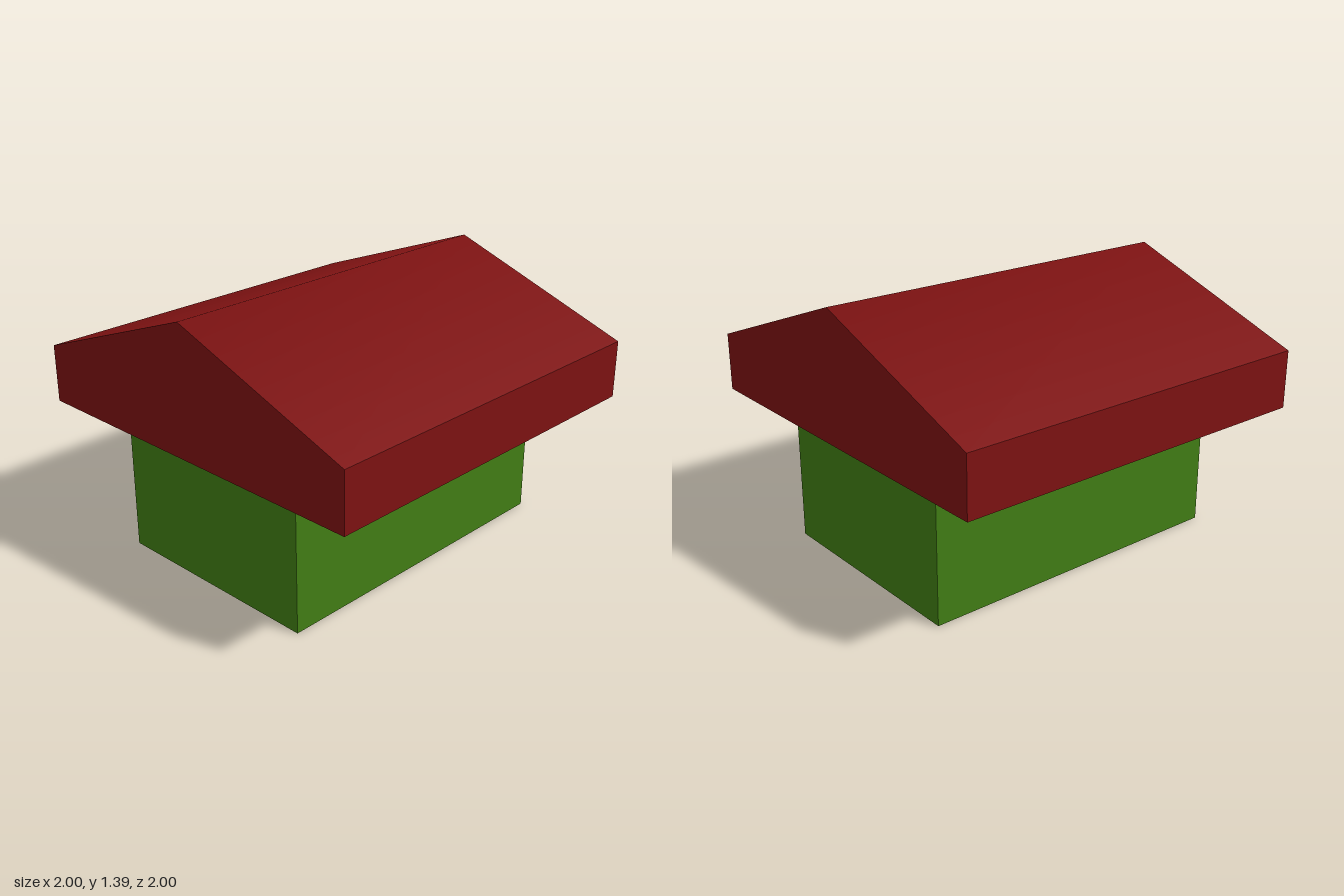
import * as THREE from 'three';
import { toCreasedNormals } from 'three/addons/utils/BufferGeometryUtils.js';

export function createModel() {
  const group = new THREE.Group();
  const wallTop = 0.725, eaveTop = 1.025, ridge = 1.39;

  // Walls: a plain block, slightly off centre under the roof
  const walls = new THREE.Mesh(
    new THREE.BoxGeometry(1.175, wallTop, 1.725),
    new THREE.MeshStandardMaterial({ color: 0x417d14 })
  );
  walls.name = 'walls';
  walls.position.set(-0.007, wallTop / 2, 0.002);
  group.add(walls);

  // Roof: five-sided gable profile run from front to back, softened at the ridge
  const profile = new THREE.Shape([
    [-1, wallTop], [1, wallTop], [1, eaveTop], [0, ridge], [-1, eaveTop],
  ].map(([x, y]) => new THREE.Vector2(x, y)));
  const roofGeometry = new THREE.ExtrudeGeometry(profile, { depth: 2, bevelEnabled: false });
  roofGeometry.translate(0, 0, -1);
  const roof = new THREE.Mesh(
    toCreasedNormals(roofGeometry, 0.8),
    new THREE.MeshStandardMaterial({ color: 0x7d1212 })
  );
  roof.name = 'roof';
  group.add(roof);

  return group;
}
